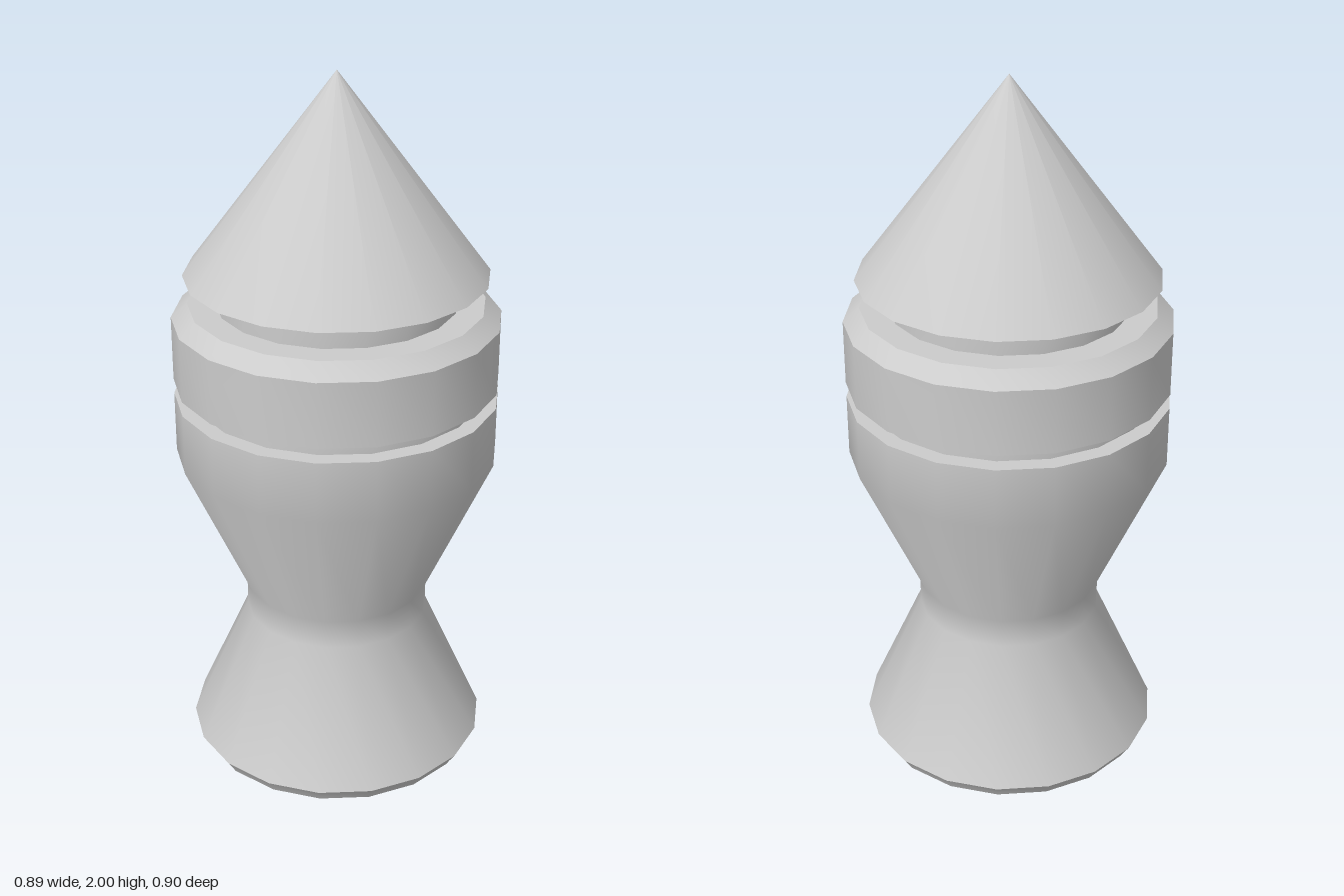
import * as THREE from 'three';
import { toCreasedNormals } from 'three/addons/utils/BufferGeometryUtils.js';

const SIDES = 18;
const CREASE = 0.65;

export function createModel() {
  const group = new THREE.Group();
  const material = new THREE.MeshStandardMaterial({ color: 0xcccccc });

  function add(name, geometry, y = 0) {
    const mesh = new THREE.Mesh(toCreasedNormals(geometry, CREASE), material);
    mesh.name = name;
    mesh.position.y = y;
    group.add(mesh);
  }

  // Profiles run so that the solid lies on the left of the path
  const lathe = (points) =>
    new THREE.LatheGeometry(points.map(([r, y]) => new THREE.Vector2(r, y)), SIDES);

  // Waisted body with a blind bore in its foot
  add('body', lathe([
    [0, 0.29], [0.285, 0.29], [0.285, 0],
    [0.405, 0], [0.41, 0.01], [0.43, 0.04],
    [0.262, 0.42], [0.262, 0.505],
    [0.45, 0.93], [0.45, 1.105], [0, 1.105],
  ]));

  // Recessed band between body and collar
  add('groove', new THREE.CylinderGeometry(0.403, 0.403, 0.05, SIDES), 1.125);

  // Collar with a bevelled top edge
  add('collar', lathe([
    [0, 1.147], [0.45, 1.147], [0.45, 1.33], [0.405, 1.37], [0, 1.37],
  ]));

  // Neck under the tip
  add('neck', new THREE.CylinderGeometry(0.33, 0.33, 0.09, SIDES), 1.41);

  // Pointed tip
  add('tip', new THREE.ConeGeometry(0.415, 0.55, SIDES), 1.725);

  return group;
}
